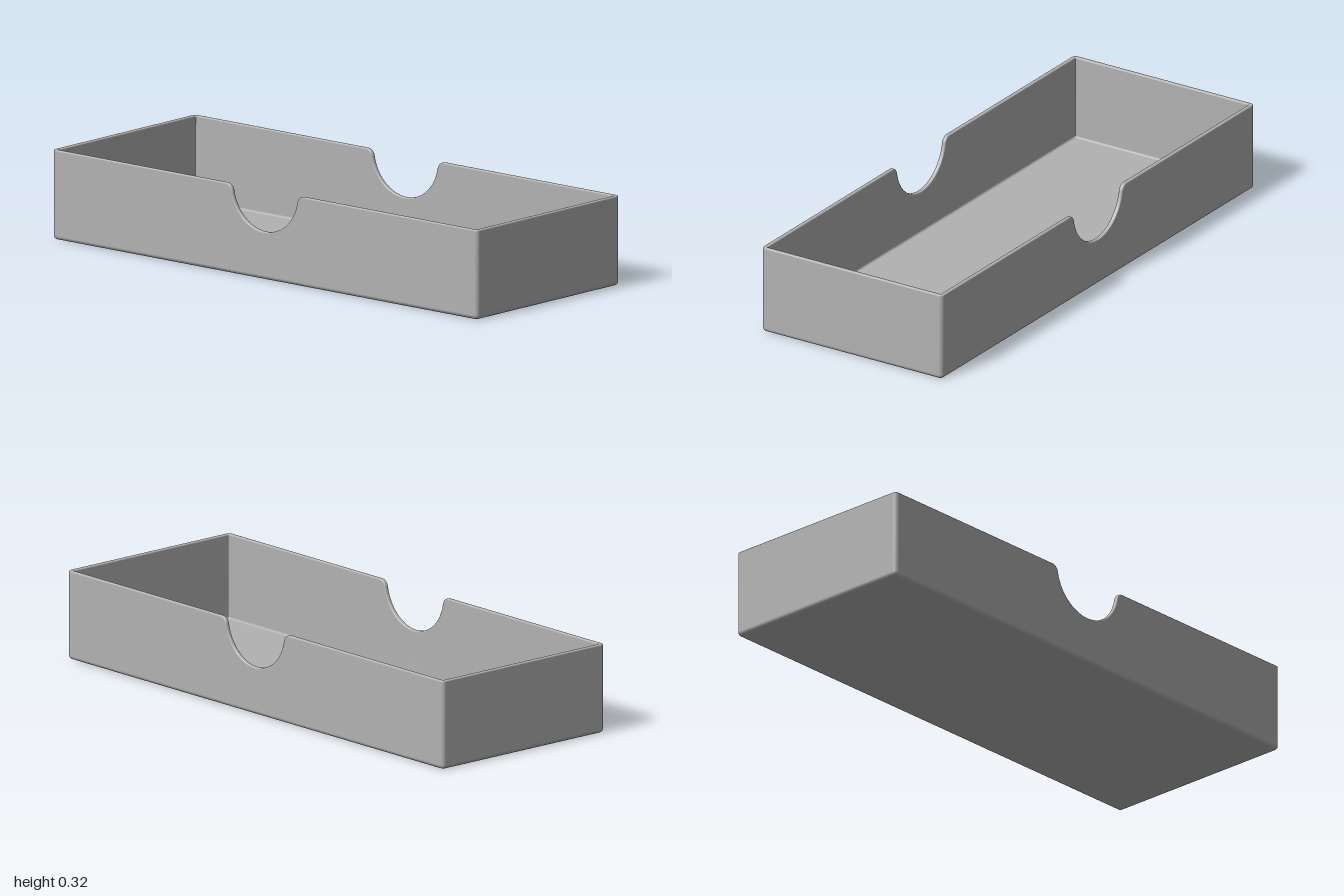
import * as THREE from 'three';

// Overall size: half length, half depth, height
const HX = 1, HZ = 0.383, H = 0.325;
const WALL = 0.016;        // wall and floor thickness
const EDGE = 0.016;        // outer bottom and corner rounding
const RIM = 0.005;         // rounding of the rim
const COVE = 0.008;        // fillet between floor and inner wall
const INNER = 0.003;       // inner corner radius
const NOTCH_R = 0.155, NOTCH_Y = 0.328, NOTCH_FILLET = 0.03;

const arc = (from, to, n) => Array.from({ length: n + 1 }, (_, i) => from + (to - from) * i / n);

// Rim points along one long wall, left to right, with a direction into the material
function notchStations() {
  const fy = H - NOTCH_FILLET, reach = NOTCH_R + NOTCH_FILLET;
  const phi = Math.asin((NOTCH_Y - fy) / reach);
  const fx = reach * Math.cos(phi);
  const shoulder = arc(Math.PI / 2, phi, 8).map(a => ({
    x: -fx + NOTCH_FILLET * Math.cos(a), y: fy + NOTCH_FILLET * Math.sin(a),
    nx: -Math.cos(a), ny: -Math.sin(a),
  }));
  const bowl = arc(Math.PI + phi, 2 * Math.PI - phi, 40).slice(1, -1).map(a => ({
    x: NOTCH_R * Math.cos(a), y: NOTCH_Y + NOTCH_R * Math.sin(a),
    nx: Math.cos(a), ny: Math.sin(a),
  }));
  const mirrored = shoulder.map(s => ({ ...s, x: -s.x, nx: -s.nx })).reverse();
  return [...shoulder, ...bowl, ...mirrored];
}

// Wall section from the underside, up the outside, over the rim and down to the floor.
// A point has a fixed height y, or a distance "drop" below the rim.
function wallProfile() {
  const q = Math.PI / 2, points = [];
  for (const a of arc(0, q, 6)) {
    const inset = EDGE * (1 - Math.sin(a));
    points.push({ inset, y: EDGE * (1 - Math.cos(a)), radius: Math.max(EDGE - inset, 0.001) });
  }
  for (const a of arc(0, q, 4)) {
    const inset = RIM * (1 - Math.cos(a));
    points.push({ inset, drop: RIM * (1 - Math.sin(a)), radius: EDGE - inset });
  }
  for (const a of arc(q, 0, 4)) {
    points.push({ inset: WALL - RIM * (1 - Math.cos(a)), drop: RIM * (1 - Math.sin(a)), radius: INNER });
  }
  for (const a of arc(0, q, 4)) {
    points.push({ inset: WALL + COVE * (1 - Math.cos(a)), y: WALL + COVE * (1 - Math.sin(a)), radius: INNER });
  }
  return points;
}

// Position of one profile point at one station of the front half of the loop
function place(station, p) {
  if (station.corner !== undefined) {
    const { corner, a } = station;
    return [
      HX - p.inset - p.radius + p.radius * Math.sin(a),
      p.drop === undefined ? p.y : H - p.drop,
      corner * (HZ - p.inset - p.radius) + p.radius * Math.cos(a),
    ];
  }
  const z = HZ - p.inset;
  if (p.drop === undefined) return [station.x, p.y, z];
  return [station.x + station.nx * p.drop, station.y + station.ny * p.drop, z];
}

function trayGeometry() {
  // Front wall, then the two corners of the left end; the rest is a half turn of these
  const half = notchStations();
  for (const a of arc(0, Math.PI / 2, 5)) half.push({ corner: 1, a });
  for (const a of arc(Math.PI / 2, Math.PI, 5)) half.push({ corner: -1, a });

  const profile = wallProfile(), n = half.length * 2, rows = profile.length;
  const positions = [], index = [];
  for (const p of profile) {
    for (const turn of [1, -1]) {
      for (const s of half) {
        const [x, y, z] = place(s, p);
        positions.push(turn * x, y, turn * z);
      }
    }
  }
  for (let j = 0; j < rows - 1; j++) {
    for (let i = 0; i < n; i++) {
      const k = (i + 1) % n, a = j * n + i, b = j * n + k;
      index.push(a, b, b + n, a, b + n, a + n);
    }
  }
  // Close the underside and the floor
  const under = rows * n, floor = under + 1, last = (rows - 1) * n;
  positions.push(0, 0, 0, 0, WALL, 0);
  for (let i = 0; i < n; i++) {
    const k = (i + 1) % n;
    index.push(under, k, i, floor, last + i, last + k);
  }
  const geometry = new THREE.BufferGeometry();
  geometry.setAttribute('position', new THREE.Float32BufferAttribute(positions, 3));
  geometry.setIndex(index);
  geometry.computeVertexNormals();
  return geometry;
}

export function createModel() {
  const grey = new THREE.MeshStandardMaterial({ color: 0xb2b2b2 });
  grey.name = 'grey';
  const tray = new THREE.Mesh(trayGeometry(), grey);
  tray.name = 'tray';
  const group = new THREE.Group();
  group.name = 'notchedTray';
  group.add(tray);
  return group;
}
